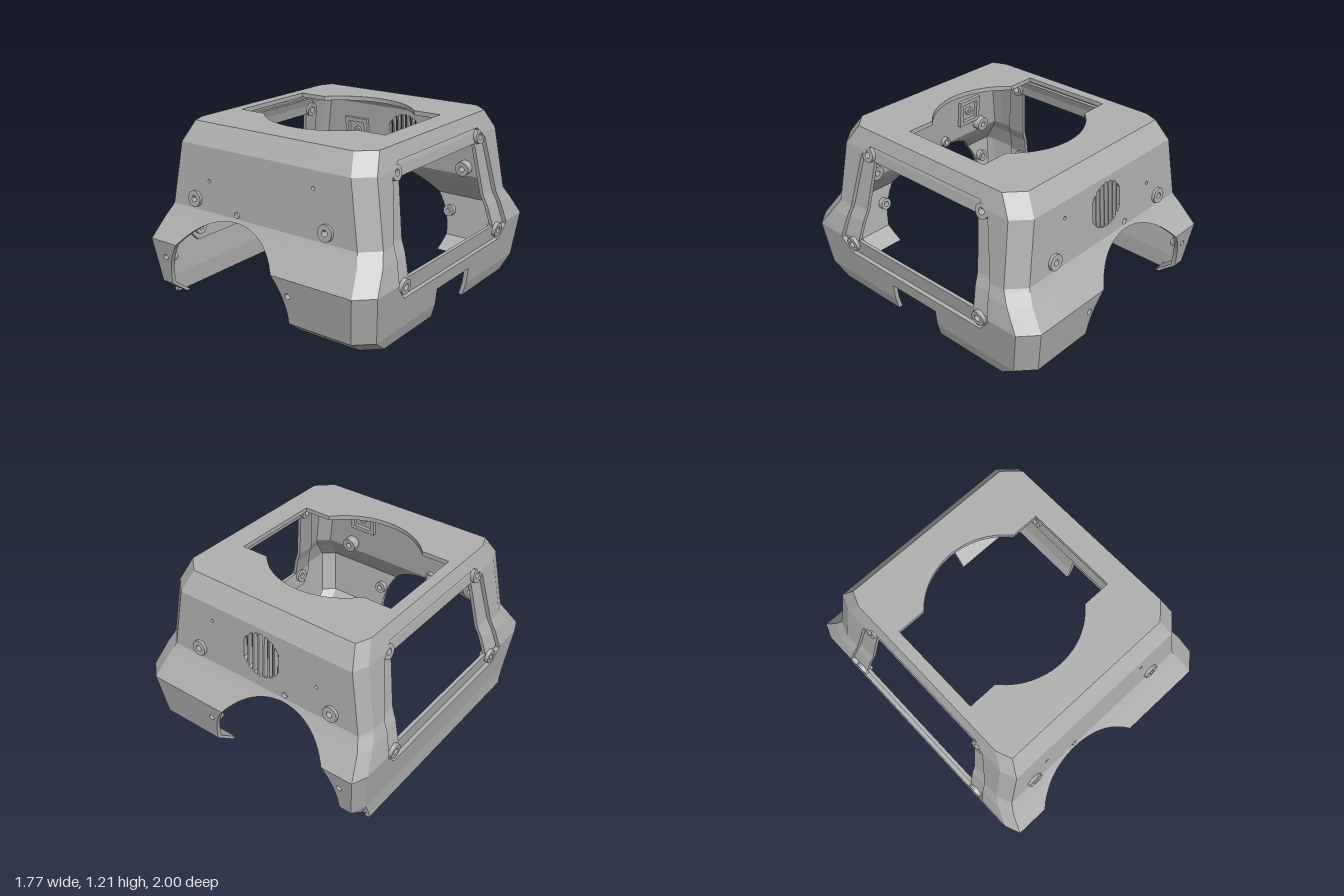
import * as THREE from 'three';

const T = 0.03; // wall thickness
const TOP = 1.21;
// wall profiles: [height, distance from the centre]
const endProfile = [[0, 0.84], [0.04, 0.84], [0.13, 0.955], [0.44, 1], [0.58, 0.897], [0.64, 0.857], [0.66, 0.845], [1.08, 0.812], [TOP, 0.725]];
const sideProfile = [[0, 0.815], [0.04, 0.825], [0.13, 0.85], [0.44, 0.885], [0.58, 0.848], [0.64, 0.822], [0.66, 0.815], [1.08, 0.745], [TOP, 0.7]];
const flatSide = sideProfile.map(([y, x]) => [y, y < 0.1 ? 0.85 : x]);
const levels = endProfile.map(p => p[0]);

function sample(profile, y) {
  for (let i = 1; i < profile.length; i++) {
    const [y0, a] = profile[i - 1], [y1, b] = profile[i];
    if (y <= y1) return a + (b - a) * (y - y0) / (y1 - y0);
  }
  return profile[profile.length - 1][1];
}
const Z = y => sample(endProfile, y);
const X = (s, y) => sample(s > 0 ? sideProfile : flatSide, y);
// corner bevels, wider on the left side
const endEdge = (s, y) => X(s, y) - (s > 0 ? 0.11 : 0.04);
const sideEdge = (s, y) => Z(y) - (s < 0 && y < 0.05 ? 0.02 : 0.1);

const V = (x, y) => new THREE.Vector2(x, y);
const arc = (cx, cy, r, a0, a1, n) => Array.from({ length: n + 1 }, (_, i) => {
  const a = a0 + (a1 - a0) * i / n;
  return V(cx + r * Math.cos(a), cy + r * Math.sin(a));
});
const circle = (x, y, r, n = 20) => arc(x, y, r, 0, Math.PI * 2, n).slice(0, n);
const symmetric = pts => [...pts.map(p => V(p[0], p[1])), ...pts.slice().reverse().map(p => V(-p[0], p[1]))];

function clip(poly, limit, sign) {
  const out = [];
  poly.forEach((a, i) => {
    const b = poly[(i + 1) % poly.length];
    const da = sign * (a.y - limit), db = sign * (b.y - limit);
    if (da >= 0) out.push(a);
    if (da * db < 0) out.push(a.clone().lerp(b, da / (da - db)));
  });
  return out;
}

function geometryFrom(pos) {
  const g = new THREE.BufferGeometry();
  g.setAttribute('position', new THREE.Float32BufferAttribute(pos, 3));
  g.computeVertexNormals();
  return g;
}

// Thick panel: a flat outline with holes, folded at each level onto map(u, y, depth)
function panel(outline, holes, map, flip, d0 = 0, d1 = T) {
  const pos = [];
  const tri = (a, b, c) => (flip ? [a, c, b] : [a, b, c]).forEach(p => pos.push(...p));
  const at = (p, d) => map(p.x, p.y, d);
  if (THREE.ShapeUtils.isClockWise(outline)) outline = outline.slice().reverse();
  holes = holes.map(h => THREE.ShapeUtils.isClockWise(h) ? h : h.slice().reverse());
  const all = [outline, ...holes].flat();
  for (const f of THREE.ShapeUtils.triangulateShape(outline, holes)) {
    for (let k = 1; k < levels.length; k++) {
      const p = clip(clip(f.map(i => all[i]), levels[k - 1], 1), levels[k], -1);
      for (let i = 2; i < p.length; i++) {
        tri(at(p[0], d0), at(p[i - 1], d0), at(p[i], d0));
        tri(at(p[0], d1), at(p[i], d1), at(p[i - 1], d1));
      }
    }
  }
  // rim faces along every contour
  for (const loop of [outline, ...holes]) loop.forEach((a, i) => {
    const b = loop[(i + 1) % loop.length];
    const cuts = levels.map(l => (l - a.y) / (b.y - a.y)).filter(t => t > 1e-4 && t < 1 - 1e-4).sort((p, q) => p - q);
    const ts = [0, ...cuts, 1];
    for (let k = 1; k < ts.length; k++) {
      const p = a.clone().lerp(b, ts[k - 1]), q = a.clone().lerp(b, ts[k]);
      tri(at(p, d0), at(p, d1), at(q, d1));
      tri(at(p, d0), at(q, d1), at(q, d0));
    }
  });
  return geometryFrom(pos);
}

// Bevel strip joining an end wall to a side wall
function cornerGeometry(sx, sz) {
  const pos = [];
  const end = (y, d) => [sx * endEdge(sx, y), y, sz * (Z(y) - d)];
  const side = (y, d) => [sx * (X(sx, y) - d), y, sz * sideEdge(sx, y)];
  const quad = (a, b, c, d, flip) => (flip ? [a, c, b, a, d, c] : [a, b, c, a, c, d]).forEach(p => pos.push(...p));
  const flip = sx * sz < 0;
  for (let k = 2; k < levels.length; k++) {
    const a = levels[k - 1], b = levels[k];
    quad(end(a, 0), side(a, 0), side(b, 0), end(b, 0), flip);
    quad(end(a, T), side(a, T), side(b, T), end(b, T), !flip);
  }
  quad(end(0.04, 0), end(0.04, T), side(0.04, T), side(0.04, 0), flip);
  return geometryFrom(pos);
}

// Ring standing on z = 0, axis along z
function ringGeometry(ro, ri, h) {
  const pts = [V(ro, 0), V(ro, h), V(ri, h), V(ri, 0), V(ro, 0)];
  const g = new THREE.LatheGeometry(pts, 24).rotateX(Math.PI / 2).toNonIndexed();
  g.computeVertexNormals();
  return g;
}

export function createModel() {
  const model = new THREE.Group();
  const grey = new THREE.MeshStandardMaterial({ color: 0xb0b0b0, side: THREE.DoubleSide });
  grey.name = 'shell grey';
  const add = (name, geometry) => {
    const m = new THREE.Mesh(geometry, grey);
    m.name = name;
    model.add(m);
    return m;
  };
  // put a part on a wall, its +z pointing outwards
  const onEnd = (m, s, x, y, d) => {
    m.position.set(x, y, s * (Z(y) - d));
    m.rotation.set(Math.atan((Z(y + 0.01) - Z(y - 0.01)) / 0.02), s > 0 ? 0 : Math.PI, 0, 'YXZ');
  };
  const onSide = (m, s, z, y, d) => {
    m.position.set(s * (X(s, y) - d), y, z);
    m.rotation.set(Math.atan((X(s, y + 0.01) - X(s, y - 0.01)) / 0.02), s * Math.PI / 2, 0, 'YXZ');
  };

  // roof with its opening
  const roof = new THREE.Shape([[1, 1], [-1, 1], [-1, -1], [1, -1]].flatMap(([sx, sz]) => {
    const a = V(sx * X(sx, TOP), sz * sideEdge(sx, TOP)), b = V(sx * endEdge(sx, TOP), sz * Z(TOP));
    return sx * sz > 0 ? [a, b] : [b, a];
  }));
  const a0 = Math.asin(0.65);
  roof.holes.push(new THREE.Path([
    V(0.535, -0.325), V(0.535, 0.325), ...arc(-0.045, 0, 0.5, a0, Math.PI - a0, 24),
    V(-0.625, 0.325), V(-0.625, -0.325), ...arc(-0.045, 0, 0.5, Math.PI + a0, 2 * Math.PI - a0, 24)]));
  add('roof', new THREE.ExtrudeGeometry(roof, { depth: T, bevelEnabled: false }).rotateX(Math.PI / 2)).position.y = TOP;

  // front and back walls with arch, screw holes and rear vent
  const upper = levels.slice(1);
  const dip = Math.asin(0.2);
  const endOutline = [
    ...arc(-0.22, 0.14, 0.5, Math.PI + dip, -dip, 48),
    ...upper.map(y => V(endEdge(1, y), y)),
    ...upper.slice().reverse().map(y => V(-endEdge(-1, y), y))];
  const bosses = [[-0.575, 0.72], [0.48, 0.72]];
  const lowHoles = [[-0.74, 0.325], [0.295, 0.325]];
  const pinHoles = [[-0.46, 0.86], [0.37, 0.97]];
  const endHoles = [
    ...[...bosses, ...lowHoles, [-0.22, 0.685]].map(p => circle(p[0], p[1], 0.02)),
    ...pinHoles.map(p => circle(p[0], p[1], 0.012, 12))];
  const vent = [];
  for (let i = -3; i <= 3; i++) {
    const l = i * 0.041 - 0.014, r = l + 0.028;
    const h = x => Math.sqrt(Math.max(0, 0.152 ** 2 - x * x));
    vent.push([V(l, -h(l)), V(r, -h(r)), V(r, h(r)), V(l, h(l))].map(p => V(p.x - 0.03, p.y + 0.89)));
  }
  for (const s of [1, -1]) {
    const end = s > 0 ? 'front' : 'back';
    add(end + 'Wall', panel(endOutline, s > 0 ? endHoles : [...endHoles, ...vent], (u, y, d) => [u, y, s * (Z(y) - d)], s < 0));
    for (const [x, y] of bosses) onEnd(add(end + 'Boss', ringGeometry(0.053, 0.02, 0.11)), s, x, y, 0.09);
    for (const [x, y] of lowHoles) onEnd(add(end + 'InnerBoss', ringGeometry(0.042, 0.02, 0.05)), s, x, y, 0.07);
    onEnd(add(end + 'ArchBoss', ringGeometry(0.035, 0.02, 0.04)), s, -0.22, 0.685, 0.06);
    // square sensor mounts on the inner face
    for (const [x, y] of pinHoles) {
      const frame = new THREE.Shape([V(-0.1, -0.1), V(0.1, -0.1), V(0.1, 0.1), V(-0.1, 0.1)]);
      frame.holes.push(new THREE.Path([V(-0.07, -0.07), V(-0.07, 0.07), V(0.07, 0.07), V(0.07, -0.07)]));
      onEnd(add(end + 'MountFrame', new THREE.ExtrudeGeometry(frame, { depth: 0.03, bevelEnabled: false })), s, x, y, T + 0.025);
      onEnd(add(end + 'MountSocket', ringGeometry(0.03, 0.012, 0.025)), s, x, y, T + 0.02);
    }
  }

  // side walls, recessed window frames and frame screws
  const recess = symmetric([[0.48, 1.12], [0.56, 1.04], [0.68, 0.42], [0.6, 0.33]]);
  const lip = symmetric([[0.49, 1.135], [0.575, 1.05], [0.695, 0.415], [0.61, 0.315]]);
  const opening = symmetric([[0.46, 1.015], [0.535, 0.44]]);
  const screws = [[0.505, 1.045], [-0.505, 1.045], [0.585, 0.405], [-0.585, 0.405]];
  for (const s of [1, -1]) {
    const side = s > 0 ? 'left' : 'right';
    const map = (u, y, d) => [s * (X(s, y) - d), y, u];
    const ys = s > 0 ? upper : levels;
    const edge = ys.slice().reverse().map(y => [sideEdge(s, y), y]);
    if (s > 0) edge.push([0.2, 0.04], [0.2, 0.24]); // cable notch
    add(side + 'Wall', panel(symmetric(edge), [recess], map, s > 0));
    add(side + 'WindowFrame', panel(lip, [opening, ...screws.map(p => circle(p[0], p[1], 0.022))], map, s > 0, T, T + 0.025));
    for (const [z, y] of screws) onSide(add(side + 'FrameScrewBoss', ringGeometry(0.05, 0.022, 0.07)), s, z, y, 0.075);
    for (const sz of [1, -1]) add(side + (sz > 0 ? 'Front' : 'Back') + 'Corner', cornerGeometry(s, sz));
  }
  return model;
}
